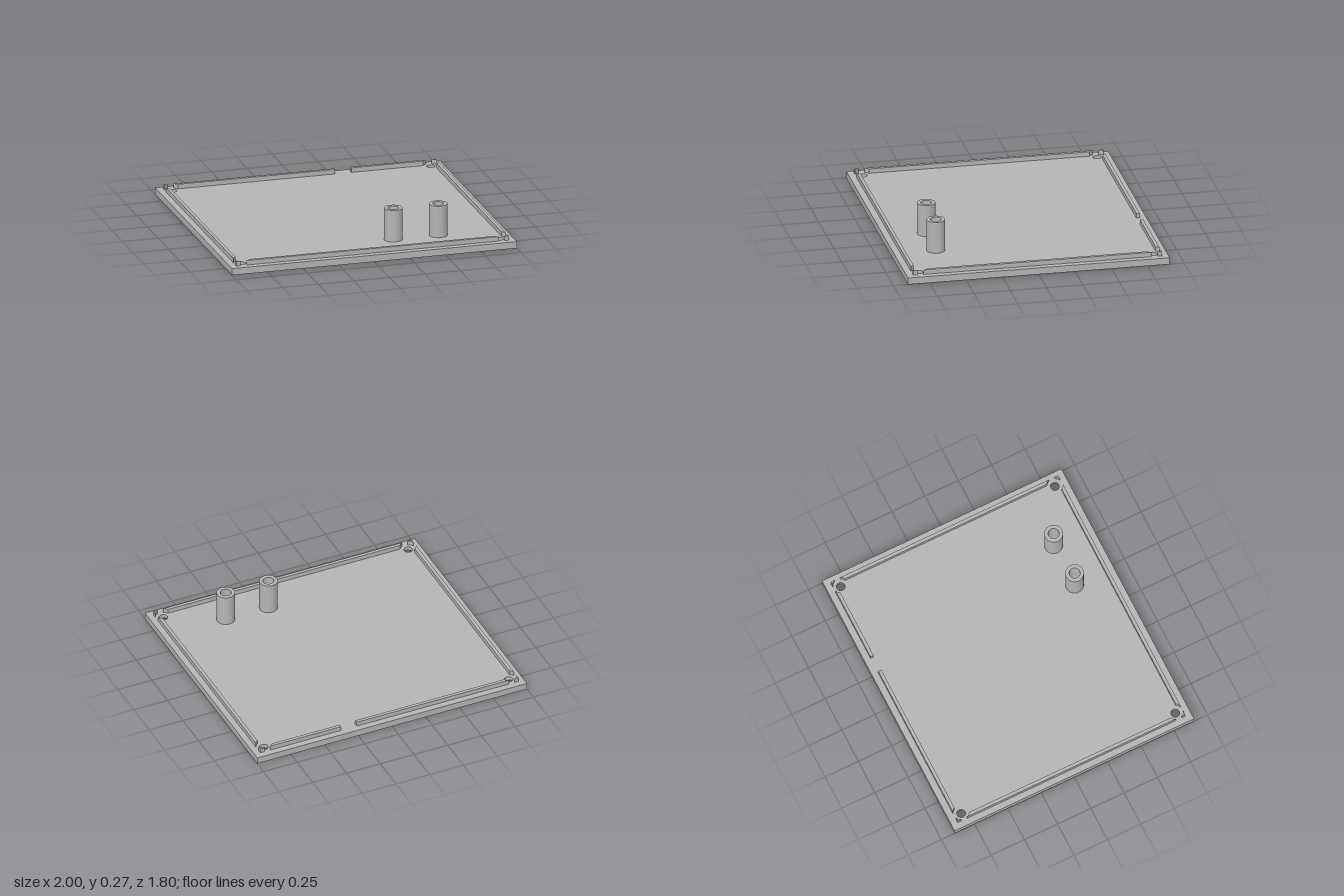
import * as THREE from 'three';
import { toCreasedNormals } from 'three/addons/utils/BufferGeometryUtils.js';

const HX = 0.907, HZ = 0.805;   // screw hole centres
const CLEAR = 0.054;            // clearance radius cut from the lip around each screw
const OUT = 0.05;               // lip outer face, measured from the screw centre line
const BASE = 0.047, LIP = 0.079, POST = 0.27, BORE = 0.02;
const posts = [[0.219, 0.61], [0.535, 0.61]];
const screws = [[-HX, -HZ], [HX, -HZ], [HX, HZ], [-HX, HZ]];

export function createModel() {
  const model = new THREE.Group();
  model.name = 'enclosureLid';
  const grey = new THREE.MeshStandardMaterial({ color: 0xb4b4b4 });
  grey.name = 'grey plastic';

  // Extrude a plan shape (x, -z) upward from y0 to y1
  function slab(name, shape, y0, y1) {
    const geo = new THREE.ExtrudeGeometry(shape, { depth: y1 - y0, bevelEnabled: false, curveSegments: 24 });
    geo.rotateX(-Math.PI / 2);
    geo.translate(0, y0, 0);
    const mesh = new THREE.Mesh(toCreasedNormals(geo, 0.6), grey);
    mesh.name = name;
    model.add(mesh);
    return mesh;
  }

  function circle(x, z, r) {
    return new THREE.Path().absarc(x, -z, r, 0, Math.PI * 2, false);
  }

  // Base plate with post bores and screw holes of a given radius
  function plate(screwRadius) {
    const s = new THREE.Shape([[-1, -0.9], [1, -0.9], [1, 0.9], [-1, 0.9]].map(p => new THREE.Vector2(...p)));
    for (const [x, z] of screws) s.holes.push(circle(x, z, screwRadius));
    for (const [x, z] of posts) s.holes.push(circle(x, z, 0.037));
    return s;
  }
  slab('counterboredPlate', plate(0.048), 0, BORE);
  slab('upperPlate', plate(0.029), BORE, BASE);

  // Hollow posts
  for (const [x, z] of posts) {
    const ring = new THREE.Shape().absarc(x, -z, 0.0625, 0, Math.PI * 2, false);
    ring.holes.push(circle(x, z, 0.037));
    slab('post', ring, BASE, POST);
  }

  // Lip bar between two screws; a numeric end makes a square cut there
  function bar(L, inner, left, right) {
    const ai = Math.asin(inner / CLEAR), ao = Math.asin(OUT / CLEAR);
    const s = new THREE.Shape();
    if (left === undefined) {
      s.moveTo(-L + CLEAR * Math.cos(ai), inner);
      s.absarc(-L, 0, CLEAR, ai, ao, false);
    } else {
      s.moveTo(left, inner);
      s.lineTo(left, OUT);
    }
    if (right === undefined) {
      s.lineTo(L - CLEAR * Math.cos(ao), OUT);
      s.absarc(L, 0, CLEAR, Math.PI - ao, Math.PI - ai, false);
    } else {
      s.lineTo(right, OUT);
      s.lineTo(right, inner);
    }
    s.closePath();
    return s;
  }

  function place(mesh, turn, x, z) {
    mesh.rotation.y = turn;
    mesh.position.set(x, 0, z);
  }
  // Back lip has a cable gap
  place(slab('backLip', bar(HX, 0.027, undefined, 0.243), BASE, LIP), 0, 0, -HZ);
  place(slab('backLip', bar(HX, 0.027, 0.357, undefined), BASE, LIP), 0, 0, -HZ);
  place(slab('frontLip', bar(HX, 0.027), BASE, LIP), Math.PI, 0, HZ);
  place(slab('rightLip', bar(HZ, 0.027), BASE, LIP), Math.PI / 2, -HX, 0);
  place(slab('leftLip', bar(HZ, 0.027), BASE, LIP), -Math.PI / 2, HX, 0);

  // Small lip remnants outside each corner screw
  const a = Math.acos(OUT / CLEAR);
  screws.forEach(([x, z], i) => {
    const s = new THREE.Shape();
    s.moveTo(OUT, OUT);
    s.lineTo(CLEAR * Math.sin(a), OUT);
    s.absarc(0, 0, CLEAR, Math.PI / 2 - a, a, true);
    s.closePath();
    place(slab('cornerLip', s, BASE, LIP), Math.PI / 2 - i * Math.PI / 2, x, z);
  });

  return model;
}
